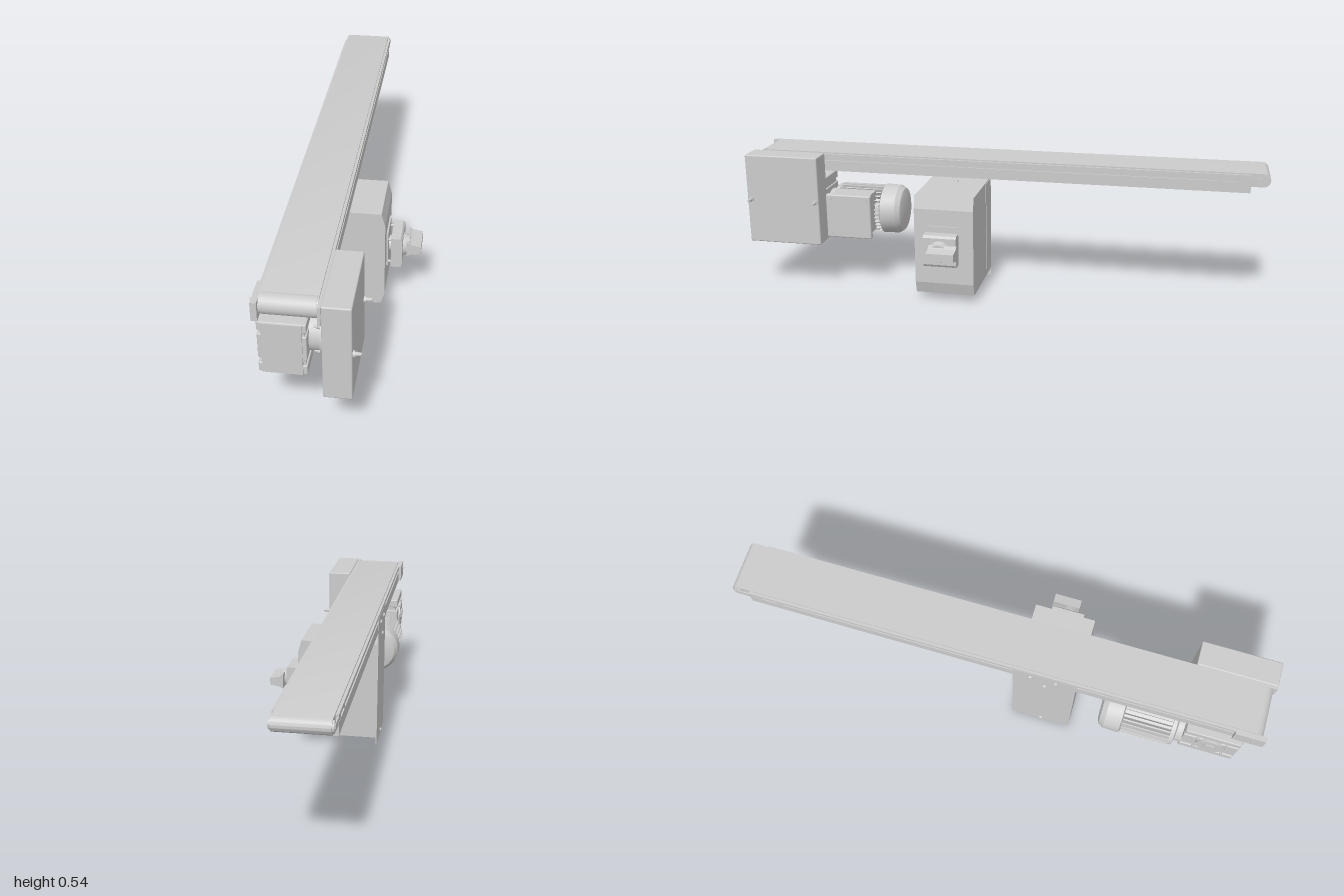
import * as THREE from 'three';
import { RoundedBoxGeometry } from 'three/addons/geometries/RoundedBoxGeometry.js';
import { toCreasedNormals } from 'three/addons/utils/BufferGeometryUtils.js';

const grey = new THREE.MeshStandardMaterial({ color: 0xcccccc, side: THREE.DoubleSide });

export function createModel() {
  const model = new THREE.Group();

  const add = (name, geo, parent = model) => {
    const mesh = new THREE.Mesh(geo, grey);
    mesh.name = name;
    parent.add(mesh);
    return mesh;
  };
  const group = (name) => {
    const g = new THREE.Group();
    g.name = name;
    model.add(g);
    return g;
  };
  // Box given by its limits, optionally with rounded edges
  const box = (name, [x0, x1], [y0, y1], [z0, z1], parent, r = 0) => {
    const size = [x1 - x0, y1 - y0, z1 - z0];
    const geo = r ? new RoundedBoxGeometry(...size, 2, r) : new THREE.BoxGeometry(...size);
    geo.translate((x0 + x1) / 2, (y0 + y1) / 2, (z0 + z1) / 2);
    return add(name, geo, parent);
  };
  // Cylinder lying along x
  const cylX = (name, x0, x1, y, z, r0, r1 = r0, parent, sides = 32) => {
    const geo = new THREE.CylinderGeometry(r1, r0, x1 - x0, sides);
    geo.rotateZ(-Math.PI / 2).translate((x0 + x1) / 2, y, z);
    return add(name, geo, parent);
  };
  const polygon = (pts) => new THREE.Shape(pts.map((p) => new THREE.Vector2(...p)));
  // Outline in (z, y) extruded along x
  const extrudeX = (name, shape, x0, x1, parent) => {
    const geo = new THREE.ExtrudeGeometry(shape, { depth: x1 - x0, bevelEnabled: false, curveSegments: 16 });
    geo.rotateY(-Math.PI / 2).translate(x1, 0, 0);
    return add(name, toCreasedNormals(geo, 0.5), parent);
  };
  // Outline in (x, y) extruded along z
  const extrudeZ = (name, shape, z0, z1, parent) => {
    const geo = new THREE.ExtrudeGeometry(shape, { depth: z1 - z0, bevelEnabled: false });
    return add(name, geo.translate(0, 0, z0), parent);
  };
  // Hexagon bolt with washer and nut, pointing along x
  const bolt = (name, x, y, z, dir, parent) => {
    const g = new THREE.Group();
    g.name = name;
    g.position.set(x, y, z);
    g.scale.setScalar(dir);
    cylX('washer', 0, 0.004, 0, 0, 0.01, 0.01, g, 16);
    cylX('nut', 0.004, 0.012, 0, 0, 0.009, 0.009, g, 6);
    cylX('shank', 0.012, 0.022, 0, 0, 0.005, 0.005, g, 12);
    (parent || model).add(g);
  };

  // Belt: loop around a large drive drum and a small tail roller
  const belt = new THREE.Shape();
  belt.absarc(0.953, 0.508, 0.034, -Math.PI / 2, Math.PI / 2, false);
  belt.absarc(-0.975, 0.517, 0.025, Math.PI / 2, Math.PI * 1.5, false);
  belt.closePath();
  extrudeX('belt', belt, -0.19, -0.01);
  cylX('driveDrum', -0.182, -0.015, 0.508, 0.954, 0.035);
  cylX('tailRoller', -0.196, -0.004, 0.517, -0.975, 0.02);

  // Side rails with an outer groove, mirrored about the belt centre
  const railOutline = [
    [0.1, 0.47], [0.1, 0.511], [0.094, 0.511], [0.094, 0.523], [0.1, 0.523], [0.1, 0.537],
    [0.084, 0.537], [0.084, 0.53], [0.09, 0.53], [0.09, 0.475], [0.078, 0.475], [0.078, 0.47],
  ];
  for (const s of [-1, 1]) {
    const at = (v) => -0.1 + s * v;
    const span = (a, b) => [Math.min(at(a), at(b)), Math.max(at(a), at(b))];
    const g = group(s < 0 ? 'rightRail' : 'leftRail');
    extrudeZ('rail', polygon(railOutline.map(([x, y]) => [at(x), y])), -0.93, 0.92, g);
    // Tail bracket with adjusting slot
    const bracket = polygon([[-0.8, 0.503], [-0.8, 0.528], [-0.985, 0.528], [-0.99, 0.517], [-0.985, 0.506], [-0.93, 0.503]]);
    const slot = new THREE.Path();
    slot.absarc(-0.88, 0.515, 0.005, Math.PI / 2, Math.PI * 1.5, false);
    slot.absarc(-0.83, 0.515, 0.005, -Math.PI / 2, Math.PI / 2, false);
    bracket.holes.push(slot);
    extrudeX('tailBracket', bracket, ...span(0.094, 0.099), g);
    box('driveBearingPlate', span(0.09, s < 0 ? 0.11 : 0.1), [0.47, 0.537], [0.89, 1], g);
  }
  bolt('bearingBolt', -0.208, 0.517, 0.955, -0.6);

  // Belt drive guard
  const guard = group('driveGuard');
  box('guardCover', [0, 0.093], [0.188, 0.542], [0.705, 1], guard, 0.005);
  for (const z of [0.72, 0.985]) {
    cylX('guardScrewCollar', 0.092, 0.1, 0.363, z, 0.011, 0.011, guard, 16);
    cylX('guardScrew', 0.1, 0.12, 0.363, z, 0.008, 0.005, guard, 12);
  }

  // Gearbox with corner slots, end cover and output flange
  const gearbox = group('gearbox');
  box('housing', [-0.202, -0.062], [0.226, 0.412], [0.74, 0.935], gearbox);
  for (const [y0, y1] of [[0.22, 0.255], [0.275, 0.37], [0.385, 0.418]])
    box('housingRib', [-0.212, -0.056], [y0, y1], [0.735, 0.94], gearbox, 0.004);
  box('frontFace', [-0.197, -0.07], [0.222, 0.416], [0.93, 0.945], gearbox);
  cylX('endCover', -0.219, -0.2, 0.326, 0.84, 0.055, 0.055, gearbox);
  cylX('endCap', -0.224, -0.218, 0.326, 0.84, 0.025, 0.025, gearbox);
  cylX('outputNeck', -0.058, -0.02, 0.326, 0.84, 0.068, 0.068, gearbox);
  cylX('outputFlange', -0.02, 0.001, 0.328, 0.84, 0.08, 0.08, gearbox);
  for (let i = 0; i < 4; i++) {
    const a = Math.PI / 4 + i * Math.PI / 2;
    bolt('flangeBolt', -0.02, 0.328 + 0.07 * Math.sin(a), 0.84 + 0.07 * Math.cos(a), -1, gearbox);
    bolt('coverBolt', -0.212, 0.326 + 0.075 * Math.sin(a), 0.84 + 0.075 * Math.cos(a), -0.5, gearbox);
  }

  // Motor: finned body, fan cowl and adapter, modelled along z
  const motor = group('motor');
  motor.position.set(-0.146, 0.283, 0);
  const profile = [
    [0, 0.42], [0.066, 0.42], [0.085, 0.426], [0.098, 0.445], [0.1, 0.505], [0.09, 0.51], [0.08, 0.51],
    [0.08, 0.69], [0.09, 0.69], [0.09, 0.705], [0.07, 0.712], [0.07, 0.738], [0, 0.738],
  ].map(([r, z]) => new THREE.Vector2(r, z));
  const body = new THREE.LatheGeometry(profile, 40).rotateX(Math.PI / 2);
  add('motorBody', toCreasedNormals(body, 0.5), motor);
  const finCount = 32;
  for (let i = 0; i < finCount; i++) {
    const fin = box('coolingFin', [0.076, 0.096], [-0.0025, 0.0025], [0.51, 0.69], motor);
    fin.rotation.z = (i / finCount) * Math.PI * 2;
  }
  // Terminal box on the motor's left side
  const terminal = group('terminalBox');
  box('terminalBase', [-0.09, 0.012], [0.215, 0.372], [0.53, 0.69], terminal);
  box('terminalLid', [0.012, 0.035], [0.205, 0.382], [0.515, 0.698], terminal, 0.006);
  for (const y of [0.222, 0.365])
    for (const z of [0.533, 0.68]) cylX('lidScrew', 0.033, 0.038, y, z, 0.007, 0.007, terminal, 12);

  // Control cabinet with chamfered outer edges
  const cabinet = group('controlCabinet');
  extrudeZ('cabinetBody', polygon([
    [-0.198, 0.028], [0.104, 0.028], [0.118, 0.075], [0.118, 0.372], [0.104, 0.422], [-0.198, 0.422],
  ]), 0.082, 0.313, cabinet);
  for (const z of [0.15, 0.2, 0.25]) {
    const gland = new THREE.CylinderGeometry(0.017, 0.012, 0.008, 20);
    add('cableGland', gland.translate(-0.107, 0.024, z), cabinet);
  }
  add('topPlug', new THREE.CylinderGeometry(0.006, 0.009, 0.008, 16).translate(-0.107, 0.426, 0.2), cabinet);

  // Support bracket: back plate with a folded flange on each side
  const support = group('supportBracket');
  box('backPlate', [-0.201, -0.197], [0, 0.525], [0.08, 0.315], support);
  const flange = polygon([
    [-0.198, 0.034], [-0.124, 0.046], [-0.116, 0.052], [-0.113, 0.06], [-0.112, 0.418], [-0.198, 0.418],
  ]);
  extrudeZ('frontFlange', flange, 0.312, 0.315, support);
  extrudeZ('backFlange', flange, 0.08, 0.083, support);
  for (const y of [0.015, 0.433]) {
    bolt('plateNut', -0.197, y, 0.2, 1, support);
    cylX('plateBoltHead', -0.207, -0.2, y, 0.2, 0.006, 0.01, support, 16);
  }
  for (const z of [0.145, 0.24]) cylX('railBoltHead', -0.207, -0.2, 0.495, z, 0.007, 0.01, support, 16);

  // Rotary switch
  const sw = group('mainSwitch');
  box('backing', [0.118, 0.124], [0.165, 0.308], [0.14, 0.26], sw);
  cylX('neck', 0.12, 0.137, 0.226, 0.2, 0.03, 0.03, sw);
  for (const y of [0.177, 0.273])
    for (const z of [0.152, 0.248]) cylX('switchScrew', 0.12, 0.137, y, z, 0.005, 0.005, sw, 12);
  extrudeZ('switchBlock', polygon([
    [0.135, 0.163], [0.17, 0.163], [0.176, 0.172], [0.176, 0.278], [0.17, 0.287], [0.135, 0.287],
  ]), 0.136, 0.264, sw);
  cylX('knobBase', 0.176, 0.2, 0.226, 0.2, 0.042, 0.034, sw);
  extrudeZ('handle', polygon([
    [0.19, 0.196], [0.205, 0.204], [0.243, 0.211], [0.243, 0.24], [0.205, 0.247], [0.19, 0.256],
  ]), 0.13, 0.237, sw);

  return model;
}
